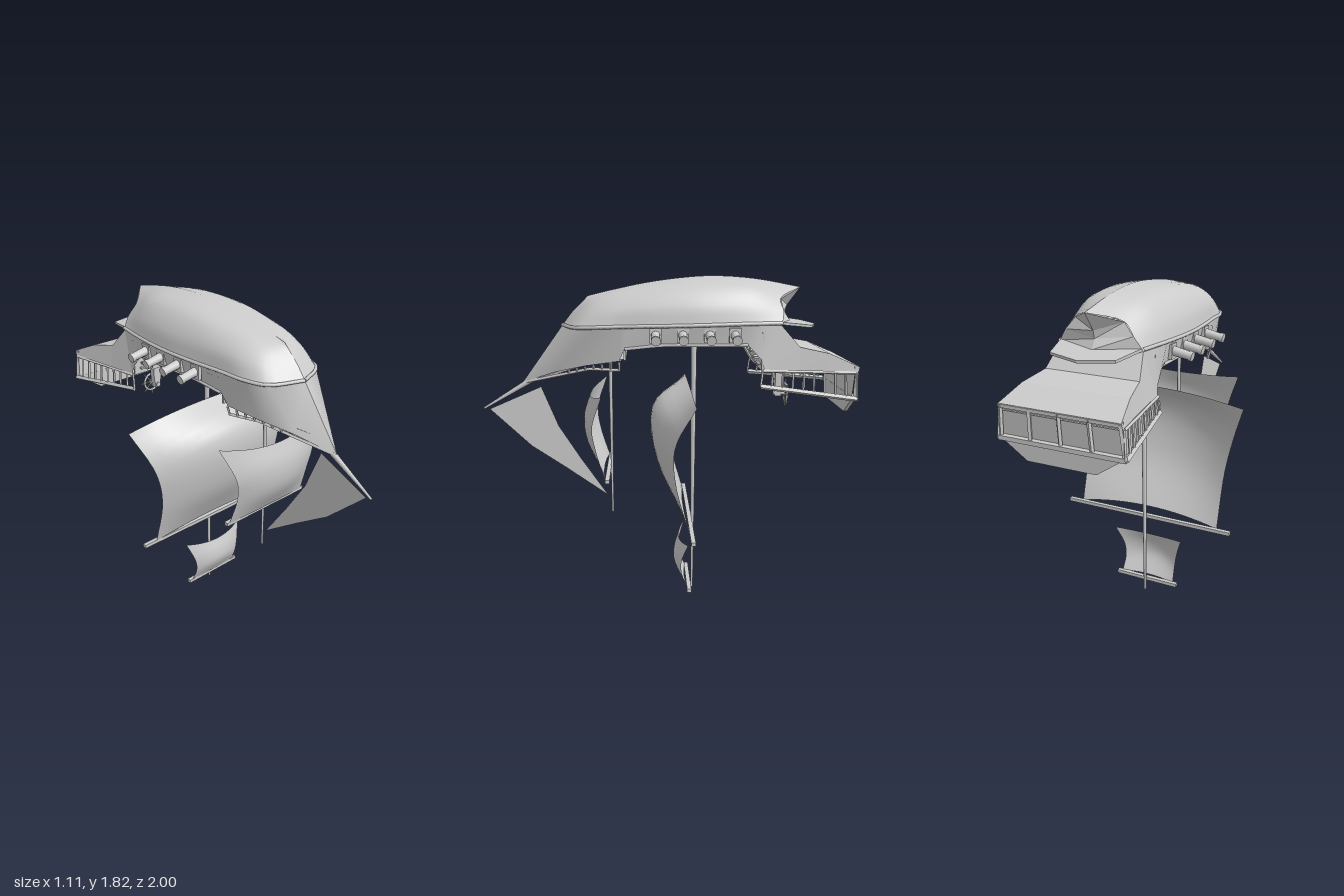
import * as THREE from 'three';

const mat = new THREE.MeshStandardMaterial({ color: 0xcccccc, side: THREE.DoubleSide });
const flatMat = new THREE.MeshStandardMaterial({ color: 0xcccccc, side: THREE.DoubleSide, flatShading: true });
const V = (p) => new THREE.Vector3(...p);
const flip = (p) => [-p[0], p[1], p[2]];

export function createModel() {
  const model = new THREE.Group();
  const add = (name, geo, m = mat) => {
    const mesh = new THREE.Mesh(geo, m);
    mesh.name = name;
    model.add(mesh);
    return mesh;
  };

  // Skin through rows of points; n, m > 0 resample along and across the rows with splines
  const loft = (rows, n = 0, m = 0) => {
    const smooth = (pts, k) => (k ? new THREE.CatmullRomCurve3(pts, false, 'centripetal') : null);
    const sample = (pts, k) => (k ? Array.from({ length: k + 1 }, (_, i) => smooth(pts, k).getPoint(i / k)) : pts);
    let grid = rows.map((r) => sample(r.map(V), n));
    if (m) {
      const cols = grid[0].map((_, i) => sample(grid.map((r) => r[i]), m));
      grid = cols[0].map((_, j) => cols.map((c) => c[j]));
    }
    const w = grid[0].length, index = [];
    for (let j = 0; j < grid.length - 1; j++)
      for (let i = 0; i < w - 1; i++) {
        const a = j * w + i;
        index.push(a, a + 1, a + w, a + 1, a + w + 1, a + w);
      }
    const geo = new THREE.BufferGeometry().setFromPoints(grid.flat());
    geo.setIndex(index);
    geo.computeVertexNormals();
    return geo;
  };
  const loftPair = (name, rows, n, m, material) => {
    add(name + 'Left', loft(rows, n, m), material);
    add(name + 'Right', loft(rows.map((r) => r.map(flip).reverse()), n, m), material);
  };

  // Round or square bar between two points
  const bar = (name, a, b, r0, r1 = r0, sides = 8) => {
    const p = V(a), q = V(b), d = q.clone().sub(p);
    const mesh = add(name, new THREE.CylinderGeometry(r1, r0, d.length(), sides), sides < 6 ? flatMat : mat);
    mesh.position.copy(p).add(q).multiplyScalar(0.5);
    mesh.quaternion.setFromUnitVectors(new THREE.Vector3(0, 1, 0), d.normalize());
    return mesh;
  };
  const box = (name, w, h, d, x, y, z) => {
    const mesh = add(name, new THREE.BoxGeometry(w, h, d));
    mesh.position.set(x, y, z);
    return mesh;
  };
  // Flat deck from [halfWidth, y, z] stations
  const deck = (name, st) => add(name, loft([st, st.map(flip)]), flatMat);

  // Hull shell: keel, bilge rows and wale, each from bow to stern
  const wale = [[0, 1.555, .55], [.17, 1.555, .47], [.22, 1.56, .36], [.235, 1.565, .22], [.26, 1.57, 0],
    [.27, 1.575, -.2], [.255, 1.58, -.42], [.22, 1.58, -.61]];
  const keel = [[0, 1.71, .41], [0, 1.73, .33], [0, 1.75, .24], [0, 1.775, .12], [0, 1.80, -.05],
    [0, 1.815, -.25], [0, 1.80, -.49], [0, 1.755, -.74]];
  const bilgeHigh = [[0, 1.67, .45], [.09, 1.69, .38], [.12, 1.72, .28], [.14, 1.745, .14], [.16, 1.765, -.03],
    [.16, 1.775, -.23], [.15, 1.76, -.45], [.13, 1.70, -.61]];
  const bilgeLow = [[0, 1.62, .50], [.14, 1.63, .42], [.19, 1.645, .33], [.215, 1.66, .2], [.235, 1.67, 0],
    [.245, 1.675, -.2], [.225, 1.67, -.43], [.18, 1.64, -.62]];
  loftPair('hullBottom', [keel, bilgeHigh, bilgeLow, wale], 28, 12);

  // Topsides between the wale and the bulwark edge
  const edge = [[0, 1.24, .78], [.09, 1.31, .59], [.17, 1.355, .42], [.215, 1.385, .24], [.23, 1.45, .21],
    [.24, 1.47, 0], [.245, 1.47, -.2], [.24, 1.47, -.43], [.245, 1.395, -.5], [.25, 1.335, -.52]];
  const waleTop = [...wale.slice(0, 4), [.237, 1.565, .2], ...wale.slice(4, 7), [.235, 1.58, -.52], wale[7]];
  loftPair('topside', [waleTop, edge]);

  // Transom under the keel end and the shelf below it
  const rim = [keel, bilgeHigh, bilgeLow, wale].map((r) => r[7]);
  loftPair('transom', [rim, [[0, 1.755, -.74], [0, 1.66, -.67], [0, 1.62, -.66], [0, 1.575, -.69]]], 0, 0, flatMat);
  const shelf = new THREE.Shape([[-.22, .6], [-.17, .78], [0, .83], [.17, .78], [.22, .6]].map((p) => new THREE.Vector2(...p)));
  const shelfMesh = add('sternShelf', new THREE.ExtrudeGeometry(shelf, { depth: .014, bevelEnabled: false }));
  shelfMesh.rotation.x = -Math.PI / 2 - .1;
  shelfMesh.rotation.x = -Math.PI / 2 - .12;
  shelfMesh.position.set(0, 1.645, 0);
  for (const s of [1, -1]) {
    const line = wale.map((p) => V([p[0] * s, p[1], p[2]]));
    add('wale', new THREE.TubeGeometry(new THREE.CatmullRomCurve3(line, false, 'centripetal'), 48, .01, 6));
    const curve = edge.slice(4, 8).map((p) => V([p[0] * s, p[1], p[2]]));
    add('bulwarkCap', new THREE.TubeGeometry(new THREE.CatmullRomCurve3(curve), 16, .009, 6));
  }

  // Stern counter and its side panels
  const counter = [[.22, 1.575, -.6], [.25, 1.46, -.70], [.28, 1.43, -.85], [.315, 1.365, -1]];
  const lower = [[.25, 1.335, -.51], [.27, 1.335, -.70], [.295, 1.335, -.85], [.32, 1.335, -.99]];
  deck('sternCounter', counter);
  loftPair('sternSide', [counter, lower], 0, 0, flatMat);

  // Decks and bulkheads
  deck('mainDeck', [[.235, 1.53, .21], [.255, 1.53, -.2], [.24, 1.53, -.5]]);
  deck('quarterDeck', lower);
  deck('foreDeck', [[.0, 1.30, .73], [.09, 1.345, .57], [.17, 1.38, .40], [.215, 1.395, .21]]);
  box('foreBulkhead', .44, .14, .012, 0, 1.46, .21);
  box('aftBulkhead', .48, .20, .012, 0, 1.435, -.51);

  for (const s of [1, -1]) {
    // Quarter railing
    const top = (t) => [s * (.25 + .07 * t), 1.335, -.51 - .47 * t];
    const low = (t) => [s * (.255 + .075 * t), 1.255 - .055 * t, -.50 - .49 * t];
    for (let i = 0; i <= 9; i++) bar('quarterBaluster', top(i / 9), low(i / 9), .007, .007, 4);
    bar('quarterRail', low(0), low(1), .014, .014, 4);
    bar('quarterSill', top(0), top(1), .009, .009, 4);

    // Bow railing
    const bowTop = (t) => [s * (.10 + .115 * t), 1.32 + .06 * t, .56 - .32 * t];
    const bowLow = (t) => [s * (.095 + .105 * t), 1.30 + .035 * Math.min(1, t * 2), .56 - .32 * t];
    for (let i = 1; i <= 7; i++) bar('bowBaluster', bowTop(i / 7), bowLow(i / 7), .007, .007, 4);
    bar('bowRail', [0, 1.24, .77], bowLow(.5), .010, .010, 4);
    bar('bowRail', bowLow(.5), bowLow(1), .010, .010, 4);

    // Guns with port blocks and carriages
    for (const z of [.05, -.09, -.23, -.36]) {
      bar('gunBarrel', [s * .17, 1.54, z], [s * .36, 1.505, z], .027, .021, 12);
      bar('gunMuzzle', [s * .345, 1.508, z], [s * .362, 1.505, z], .025, .025, 12);
      box('gunPort', .02, .075, .06, s * .255, 1.522, z);
      box('gunCarriage', .09, .03, .05, s * .18, 1.505, z);
    }

    // Stairs from the main deck to the quarter deck
    for (let i = 0; i < 5; i++) box('stairStep', .07, .01, .025, s * .17, 1.50 - i * .033, -.43 - i * .017);
    bar('stairSide', [s * .13, 1.50, -.41], [s * .13, 1.35, -.5], .008, .008, 4);
  }

  // Stern gallery: windows, mullions, sill and taffrail
  add('sternWindows', loft([[[.31, 1.36, -.98], [-.31, 1.36, -.98]], [[.32, 1.2, -.965], [-.32, 1.2, -.965]]]));
  for (let i = -2; i <= 2; i++) bar('sternMullion', [i * .153, 1.36, -.99], [i * .16, 1.2, -.98], .011, .011, 4);
  box('sternLintel', .63, .02, .025, 0, 1.358, -.985);
  box('sternSill', .66, .022, .03, 0, 1.2, -.98);
  const taff = new THREE.Shape([[-.32, 1.2], [-.18, 1.105], [.18, 1.105], [.32, 1.2]].map((p) => new THREE.Vector2(...p)));
  add('taffrail', new THREE.ExtrudeGeometry(taff, { depth: .02, bevelEnabled: false })).position.z = -.985;

  // Helm
  box('helmPost', .05, .13, .035, 0, 1.27, -.635);
  box('helmBase', .09, .02, .07, 0, 1.32, -.635);
  bar('helmAxle', [0, 1.175, -.61], [0, 1.175, -.69], .014);
  box('helmHead', .04, .06, .035, 0, 1.19, -.635);
  add('helmWheel', new THREE.TorusGeometry(.052, .007, 6, 20)).position.set(0, 1.175, -.68);
  for (let i = 0; i < 8; i++) {
    const a = i * Math.PI / 4;
    bar('helmSpoke', [0, 1.175, -.68], [.075 * Math.cos(a), 1.175 + .075 * Math.sin(a), -.68], .004, .004, 5);
  }

  // Masts and bowsprit
  bar('mainMast', [0, 0, -.165], [0, 1.53, -.165], .007, .017, 10);
  bar('mainMastCollar', [0, 1.45, -.165], [0, 1.52, -.165], .03, .03, 8);
  bar('foreMast', [0, .48, .295], [0, 1.39, .295], .006, .011, 10);
  bar('bowsprit', [0, 1.255, .73], [0, 1.095, 1], .016, .006, 8);

  // Square sails: side and centre columns, top to bottom, bellying forward
  const sail = (name, side, mid, yardY, yardHalf, yardZ) => {
    const cols = [];
    for (let i = -8; i <= 8; i++) {
      const t = i / 8, k = t * t;
      cols.push(side.map((p, j) => [p[0] * t, mid[j][0] + (p[1] - mid[j][0]) * k, mid[j][1] + (p[2] - mid[j][1]) * k]));
    }
    add(name, loft(cols, 14));
    box(name + 'Yard', yardHalf * 2, .02, .024, 0, yardY, yardZ);
  };
  sail('mainSail',
    [[.555, 1.2, -.145], [.47, .98, -.045], [.43, .78, -.05], [.425, .48, -.13]],
    [[1.25, -.13], [1.11, .06], [.8, .04], [.52, -.11]], .475, .505, -.14);
  sail('foreSail',
    [[.355, 1.218, .33], [.285, 1.04, .385], [.265, .92, .37], [.275, .75, .32]],
    [[1.178, .41], [1.06, .445], [.92, .43], [.76, .335]], .748, .29, .31);
  sail('topSail',
    [[.21, .347, -.13], [.17, .23, -.095], [.16, .15, -.10], [.165, .067, -.135]],
    [[.326, -.085], [.25, -.06], [.18, -.06], [.075, -.12]], .063, .19, -.14);

  // Triangular jib
  const jib = [[[0, 1.215, .68], [0, .99, .59], [0, .80, .47], [0, .58, .32]], [[0, 1.09, .97], [0, .875, .745], [0, .75, .56], [0, .58, .32]]];
  add('jib', loft(jib));

  return model;
}
